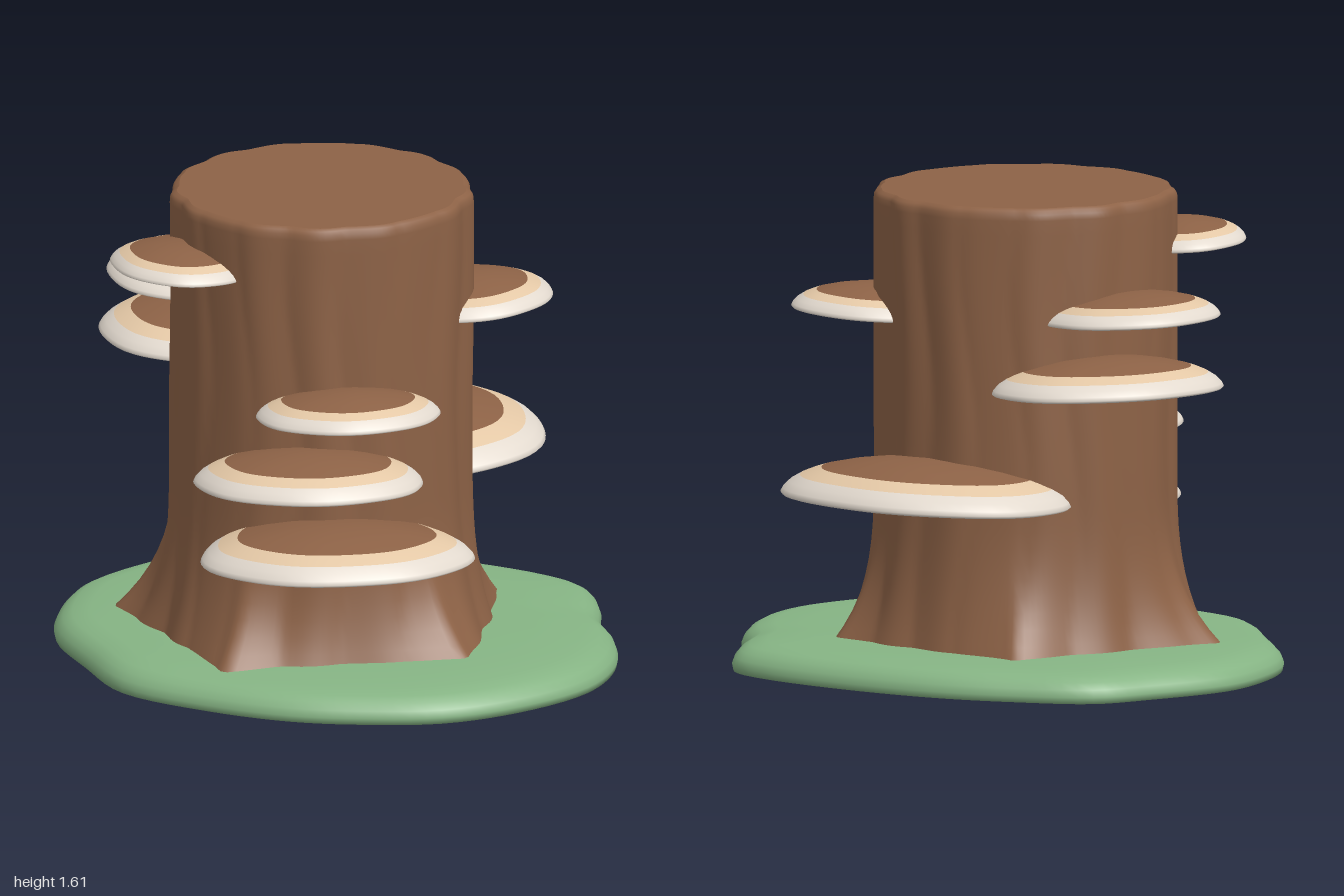
import * as THREE from 'three';
import { mergeVertices } from 'three/addons/utils/BufferGeometryUtils.js';

const mat = (name, color) => {
  const m = new THREE.MeshStandardMaterial({ color });
  m.name = name;
  return m;
};

// Lathe a [radius, y] profile, move each vertex by a rule, then smooth across the seam
function lathe(profile, segments, rule) {
  const geo = new THREE.LatheGeometry(profile.map(([r, y]) => new THREE.Vector2(r, y)), segments);
  const pos = geo.attributes.position;
  const v = new THREE.Vector3();
  for (let i = 0; i < pos.count; i++) {
    v.fromBufferAttribute(pos, i);
    const segment = Math.floor(i / profile.length) % segments;
    rule(v, (segment / segments) * Math.PI * 2, segment / segments);
    pos.setXYZ(i, v.x, v.y, v.z);
  }
  geo.deleteAttribute('uv');
  geo.deleteAttribute('normal');
  const merged = mergeVertices(geo, 1e-5);
  merged.computeVertexNormals();
  return merged;
}

function addMesh(parent, name, geometry, material) {
  const mesh = new THREE.Mesh(geometry, material);
  mesh.name = name;
  parent.add(mesh);
  return mesh;
}

// Grass patch: a closed low mound with an irregular outline, listed from the front towards +x
function grassGeometry() {
  const outline = new THREE.CatmullRomCurve3([
    [0, 0.88], [0.3, 0.84], [0.52, 0.75], [0.75, 0.6], [0.91, 0.36], [0.995, 0.06],
    [0.95, -0.2], [0.83, -0.4], [0.7, -0.53], [0.61, -0.68], [0.5, -0.8], [0.34, -0.84],
    [0, -0.83], [-0.36, -0.76], [-0.62, -0.65], [-0.85, -0.5], [-0.93, -0.3], [-1, 0],
    [-0.96, 0.22], [-0.84, 0.46], [-0.6, 0.67], [-0.35, 0.85],
  ].map(([x, z]) => new THREE.Vector3(x, 0, z)), true);
  const profile = [[0, 0], [0.6, 0], [0.995, 0], [1, 0.022], [0.99, 0.046], [0.968, 0.068],
    [0.935, 0.085], [0.87, 0.098], [0.7, 0.107], [0.35, 0.11], [0, 0.11]];
  return lathe(profile, 110, (v, a, t) => {
    const f = Math.hypot(v.x, v.z);
    const p = outline.getPoint(t);
    v.set(p.x * f, v.y, p.z * f);
  });
}

// Rounded pentagon measure: 0 midway between two roots, 1 on a root
function rootLobe(a) {
  const step = (Math.PI * 2) / 5;
  const fromRoot = (a - 0.05) / step;
  const d = (fromRoot - Math.floor(fromRoot) - 0.5) * step;
  const corner = Math.cos(step / 2);
  return (corner / Math.cos(d) - corner) / (1 - corner);
}

// Trunk: fluted bark that spreads into five roots
function trunkGeometry() {
  const profile = [];
  for (let i = 0; i <= 28; i++) profile.push([0.505, 0.09 + (1.48 * i) / 28]);
  profile.push([0.503, 1.59], [0.495, 1.603], [0.48, 1.61]);
  return lathe(profile, 180, (v, a) => {
    const flare = Math.pow(Math.max(0, (0.62 - v.y) / 0.53), 2.7);
    const drift = 0.12 * Math.sin(v.y * 5 + a * 2);
    const bark = 0.008 * (Math.abs(Math.sin(9 * (a + drift * 0.5))) - 0.6)
      + 0.005 * Math.sin(13 * a + 3 * drift + 1);
    const backTrim = 1 - 0.3 * Math.max(0, -Math.cos(a));
    const r = Math.hypot(v.x, v.z) + bark + flare * backTrim * (0.075 + 0.14 * rootLobe(a));
    v.set(Math.sin(a) * r, v.y, Math.cos(a) * r);
  });
}

// Flat cut face, matching the rim of the trunk
function cutGeometry(trunk) {
  const pos = trunk.attributes.position;
  const rim = [];
  for (let i = 0; i < pos.count; i++) {
    if (pos.getY(i) > 1.6095) rim.push(new THREE.Vector2(pos.getX(i), -pos.getZ(i)));
  }
  rim.sort((p, q) => Math.atan2(p.y, p.x) - Math.atan2(q.y, q.x));
  const geo = new THREE.ShapeGeometry(new THREE.Shape(rim));
  return geo.rotateX(-Math.PI / 2).translate(0, 1.61, 0);
}

// Shelf fungus layers on a unit disc: pale underside and rim, tan band, brown crown
const LAYERS = [
  ['underside', 'pale', [[0, 0.04], [0.6, 0.02], [0.95, -0.03], [0.985, 0]]],
  ['paleRim', 'pale', [[0.985, 0], [1, 0.05], [0.985, 0.15], [0.94, 0.31], [0.87, 0.46]]],
  ['tanBand', 'tan', [[0.87, 0.46], [0.79, 0.58], [0.725, 0.66]]],
  ['brownCrown', 'brown', [[0.725, 0.66], [0.55, 0.81], [0.36, 0.92], [0.18, 0.98], [0, 1]]],
];

function shelfFungus(name, { x, y, z, wide, deep, high, angle }, materials) {
  const group = new THREE.Group();
  group.name = name;
  for (const [part, colour, profile] of LAYERS) {
    const geo = lathe(profile, 56, (v, a) => {
      const wobble = 1 + 0.012 * Math.sin(3 * a + angle) + 0.008 * Math.sin(7 * a + y * 9);
      v.set(v.x * wide * wobble, v.y * high, v.z * deep * wobble);
    });
    addMesh(group, part, geo, materials[colour]);
  }
  group.position.set(x, y, z);
  group.rotation.order = 'YXZ';
  group.rotation.set(-0.05, THREE.MathUtils.degToRad(angle), 0);
  return group;
}

export function createModel() {
  const materials = {
    brown: mat('bark brown', 0x8d6246),
    tan: mat('fungus tan', 0xe4c8a6),
    pale: mat('fungus cream', 0xe2d9ce),
    grass: mat('grass green', 0x86b484),
  };
  const model = new THREE.Group();
  model.name = 'treeStump';

  addMesh(model, 'grassPatch', grassGeometry(), materials.grass);

  const stump = new THREE.Group();
  stump.name = 'stump';
  stump.position.set(-0.055, 0, 0.035);
  const trunk = trunkGeometry();
  addMesh(stump, 'trunk', trunk, materials.brown);
  addMesh(stump, 'cutTop', cutGeometry(trunk), materials.brown);
  model.add(stump);

  // Shelf fungi; angle is the outward direction, from the front towards +x
  const fungi = {
    frontLowShelf: { x: 0.27, y: 0.47, z: 0.495, wide: 0.46, deep: 0.37, high: 0.13, angle: 35 },
    frontMiddleShelf: { x: 0.182, y: 0.732, z: 0.53, wide: 0.385, deep: 0.305, high: 0.117, angle: 28 },
    frontUpperShelf: { x: 0.298, y: 0.967, z: 0.46, wide: 0.31, deep: 0.248, high: 0.093, angle: 40 },
    frontTopShelf: { x: -0.337, y: 1.402, z: 0.49, wide: 0.257, deep: 0.23, high: 0.08, angle: -32 },
    rightUpperShelf: { x: -0.558, y: 1.217, z: 0.005, wide: 0.315, deep: 0.3, high: 0.093, angle: -91 },
    rightLowerShelf: { x: -0.565, y: 0.988, z: -0.117, wide: 0.4, deep: 0.35, high: 0.117, angle: -108 },
    backLeftShelf: { x: 0.318, y: 1.187, z: -0.272, wide: 0.265, deep: 0.3, high: 0.093, angle: 126 },
    backLowShelf: { x: -0.063, y: 0.605, z: -0.465, wide: 0.525, deep: 0.435, high: 0.143, angle: 180 },
  };
  for (const [name, spec] of Object.entries(fungi)) model.add(shelfFungus(name, spec, materials));
  return model;
}
